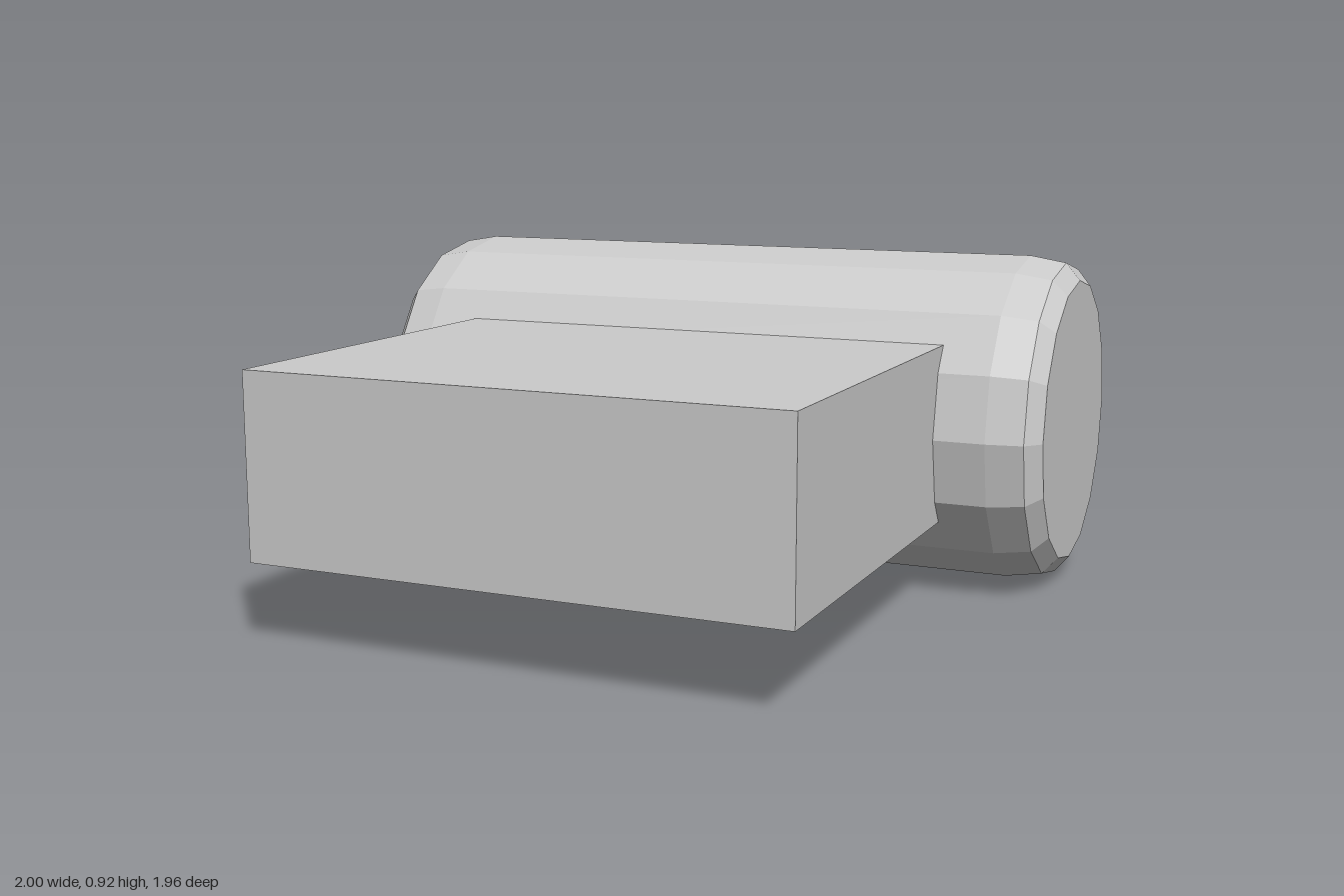
import * as THREE from 'three';

export function createModel() {
  const group = new THREE.Group();
  const material = new THREE.MeshStandardMaterial({ color: 0xcccccc, flatShading: true });

  // Roller: 16-sided drum lying along x, with two-step bevelled ends
  const end = [[0.46, 0.86], [0.443, 0.96], [0.395, 1], [0, 1]];
  const profile = [
    ...end.map(([r, h]) => new THREE.Vector2(r, -h)).reverse(),
    ...end.map(([r, h]) => new THREE.Vector2(r, h)),
  ];
  const roller = new THREE.Mesh(new THREE.LatheGeometry(profile, 16), material);
  roller.name = 'roller';
  roller.rotation.z = -Math.PI / 2;
  roller.position.set(0, 0.46, -0.52);
  group.add(roller);

  // Block: plain box running forward from inside the roller
  const front = 0.98, back = -0.46;
  const block = new THREE.Mesh(new THREE.BoxGeometry(1.44, 0.485, front - back), material);
  block.name = 'block';
  block.position.set(0, 0.463, (front + back) / 2);
  group.add(block);

  return group;
}
